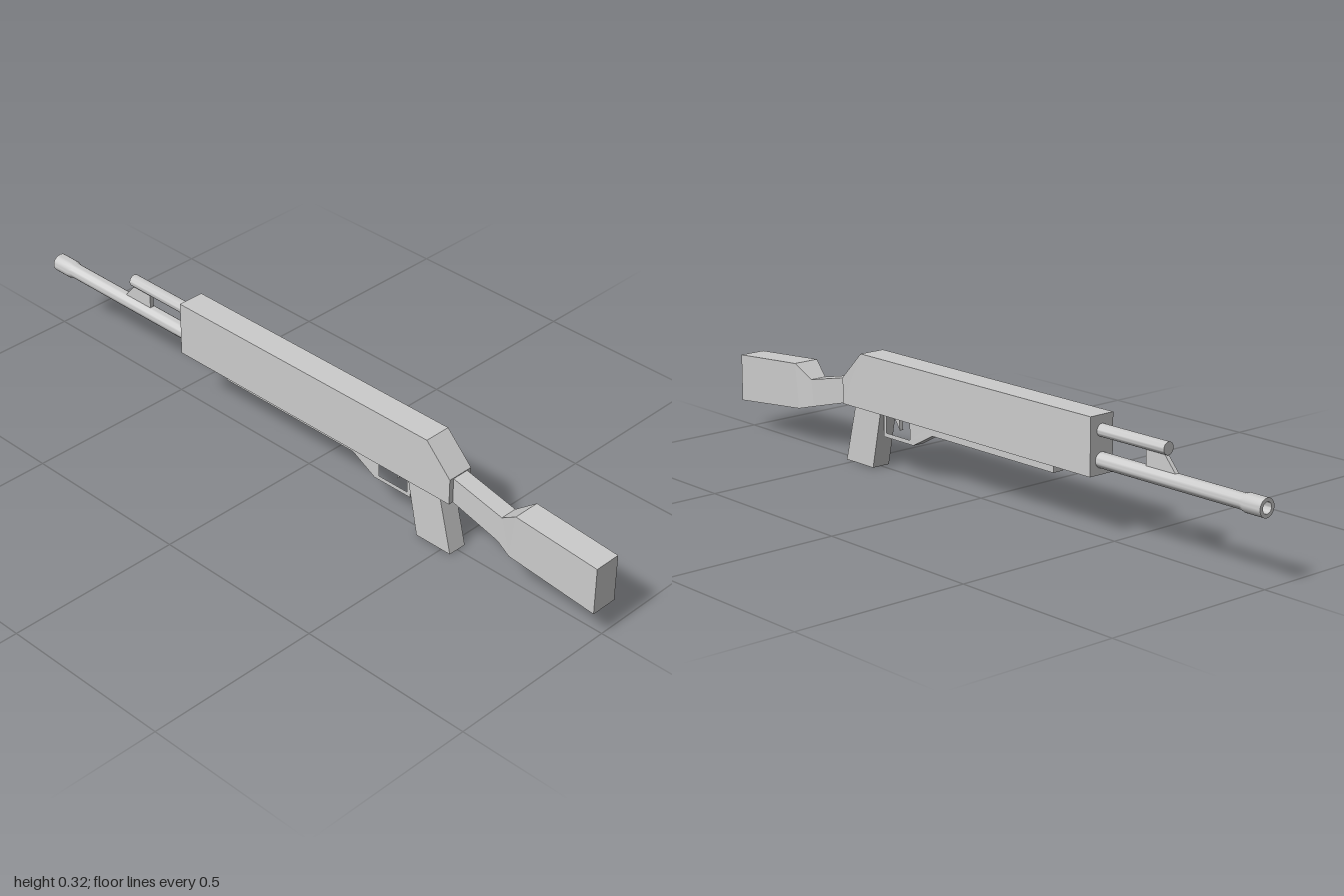
import * as THREE from 'three';
import { toCreasedNormals } from 'three/addons/utils/BufferGeometryUtils.js';

export function createModel() {
  const model = new THREE.Group();
  const flat = new THREE.MeshStandardMaterial({ color: 0xcccccc, flatShading: true });
  const smooth = new THREE.MeshStandardMaterial({ color: 0xcccccc });

  function add(name, geometry, material) {
    const mesh = new THREE.Mesh(geometry, material);
    mesh.name = name;
    model.add(mesh);
  }

  // Side profile of [z, y] points, extruded across x and centred
  function plate(name, width, points, hole) {
    const shape = new THREE.Shape(points.map(([z, y]) => new THREE.Vector2(z, y)));
    if (hole) shape.holes.push(new THREE.Path(hole.map(([z, y]) => new THREE.Vector2(z, y))));
    const g = new THREE.ExtrudeGeometry(shape, { depth: width, bevelEnabled: false });
    g.translate(0, 0, -width / 2).rotateY(-Math.PI / 2);
    add(name, g, flat);
  }

  // Round part along -z from [radius, distance] points
  function turned(name, y, points) {
    const g = new THREE.LatheGeometry(points.map(([r, d]) => new THREE.Vector2(r, d)), 24);
    g.rotateX(-Math.PI / 2).translate(0, y, 0);
    add(name, toCreasedNormals(g, 0.6), smooth);
  }

  // Rectangular sections [halfWidth, topZ, topY, bottomZ, bottomY], joined along +z
  function loft(name, sections) {
    const pos = [], index = [];
    for (const [w, tz, ty, bz, by] of sections) {
      pos.push(-w, by, bz, w, by, bz, w, ty, tz, -w, ty, tz);
    }
    for (let s = 0; s < sections.length - 1; s++) {
      for (let i = 0; i < 4; i++) {
        const a = s * 4 + i, b = s * 4 + (i + 1) % 4;
        index.push(a, b, b + 4, a, b + 4, a + 4);
      }
    }
    const e = (sections.length - 1) * 4;
    index.push(0, 2, 1, 0, 3, 2, e, e + 1, e + 2, e, e + 2, e + 3);
    const g = new THREE.BufferGeometry();
    g.setAttribute('position', new THREE.Float32BufferAttribute(pos, 3));
    g.setIndex(index);
    const faceted = g.toNonIndexed();
    faceted.computeVertexNormals();
    add(name, faceted, flat);
  }

  // Main body with sloped rear corner
  plate('receiver', 0.078, [[0.53, 0.162], [0.53, 0.236], [0.45, 0.317], [-0.45, 0.317], [-0.45, 0.162]]);

  // Narrow neck widening into the butt
  loft('stock', [
    [0.025, 0.52, 0.236, 0.52, 0.165],
    [0.025, 0.69, 0.198, 0.68, 0.122],
    [0.039, 0.745, 0.237, 0.73, 0.109],
    [0.039, 1, 0.217, 1, 0.082],
  ]);

  plate('grip', 0.056, [[0.53, 0], [0.415, 0], [0.38, 0.165], [0.488, 0.165]]);

  // Guard frame running into the lower rail
  plate('triggerGuard', 0.034,
    [[0.38, 0.165], [0.38, 0.094], [0.255, 0.094], [0.175, 0.137], [0.175, 0.165]],
    [[0.368, 0.16], [0.368, 0.106], [0.27, 0.106], [0.27, 0.16]]);
  plate('lowerRail', 0.034, [[0.175, 0.136], [0.175, 0.165], [-0.295, 0.165], [-0.295, 0.136]]);
  plate('trigger', 0.012, [[0.35, 0.165], [0.343, 0.145], [0.325, 0.12], [0.327, 0.145], [0.318, 0.165]]);

  // Barrel with wider, hollow muzzle
  turned('barrel', 0.2, [[0.021, 0.44], [0.021, 0.93], [0.025, 0.942], [0.025, 1], [0.015, 1], [0.015, 0.93], [0, 0.93]]);

  // Upper tube and its thin bracket
  turned('upperTube', 0.277, [[0.017, 0.44], [0.017, 0.68], [0, 0.68]]);
  plate('tubeBracket', 0.012, [[-0.61, 0.265], [-0.61, 0.215], [-0.715, 0.215], [-0.67, 0.265]]);

  return model;
}
